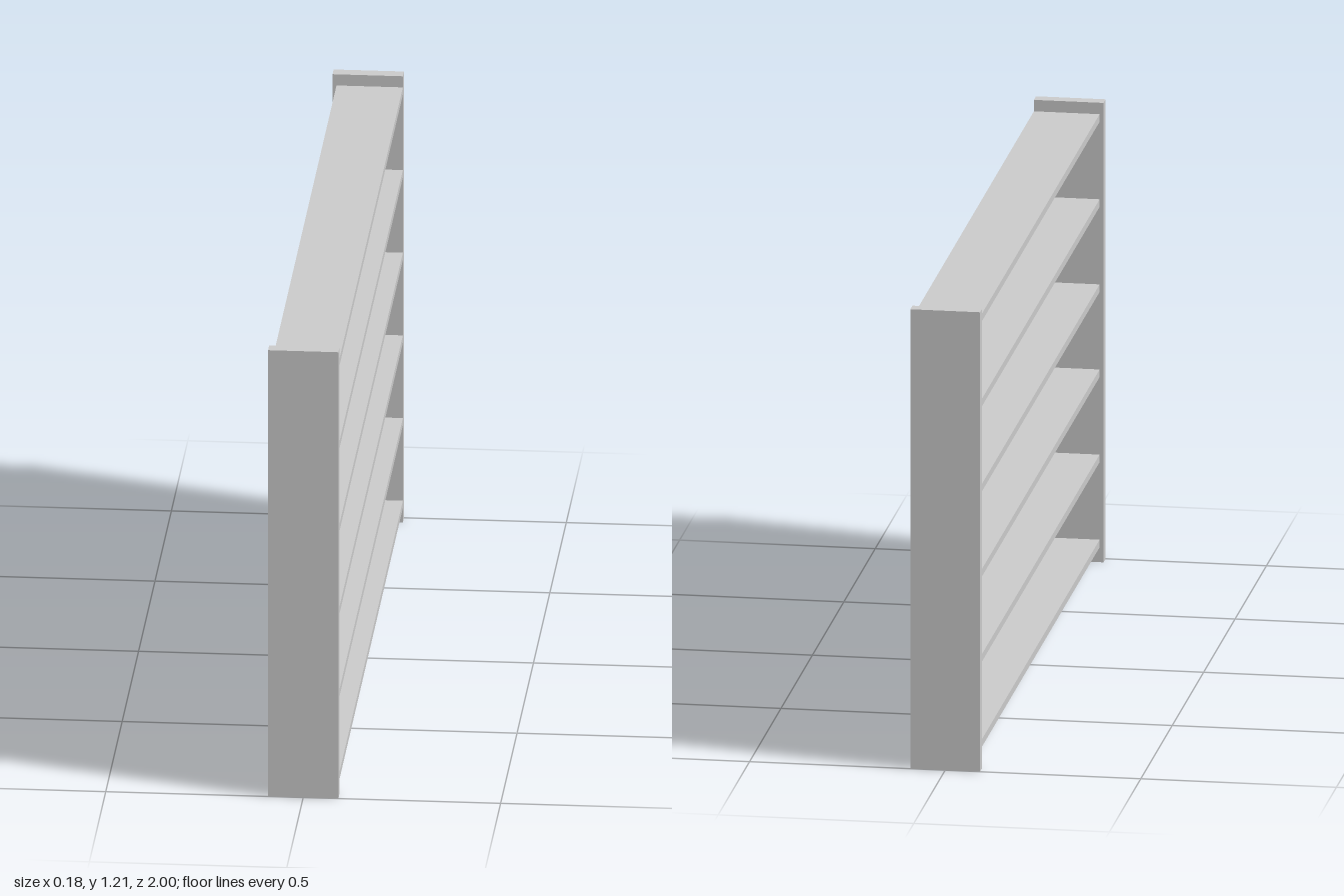
import * as THREE from 'three';

export function createModel() {
  const model = new THREE.Group();
  model.name = 'shelfRack';
  const material = new THREE.MeshStandardMaterial({ color: 0xcccccc });

  const height = 1.205, depth = 0.178, panel = 0.034;
  const inset = 0.01, board = 0.02, shelfCount = 6;
  const firstY = 0.049, spacing = 0.2232;

  function addBox(name, w, h, d, x, y, z) {
    const mesh = new THREE.Mesh(new THREE.BoxGeometry(w, h, d), material);
    mesh.name = name;
    mesh.position.set(x, y, z);
    model.add(mesh);
  }

  // Upright end panels
  for (const side of [1, -1]) {
    addBox(side > 0 ? 'frontPanel' : 'backPanel', depth, height, panel,
      0, height / 2, side * (1 - panel / 2));
  }

  // Shelves, flush with the panels on +x and slightly set in on -x
  for (let i = 0; i < shelfCount; i++) {
    addBox(`shelf${i + 1}`, depth - inset, board, 2 - 2 * panel,
      inset / 2, firstY + i * spacing, 0);
  }

  return model;
}
